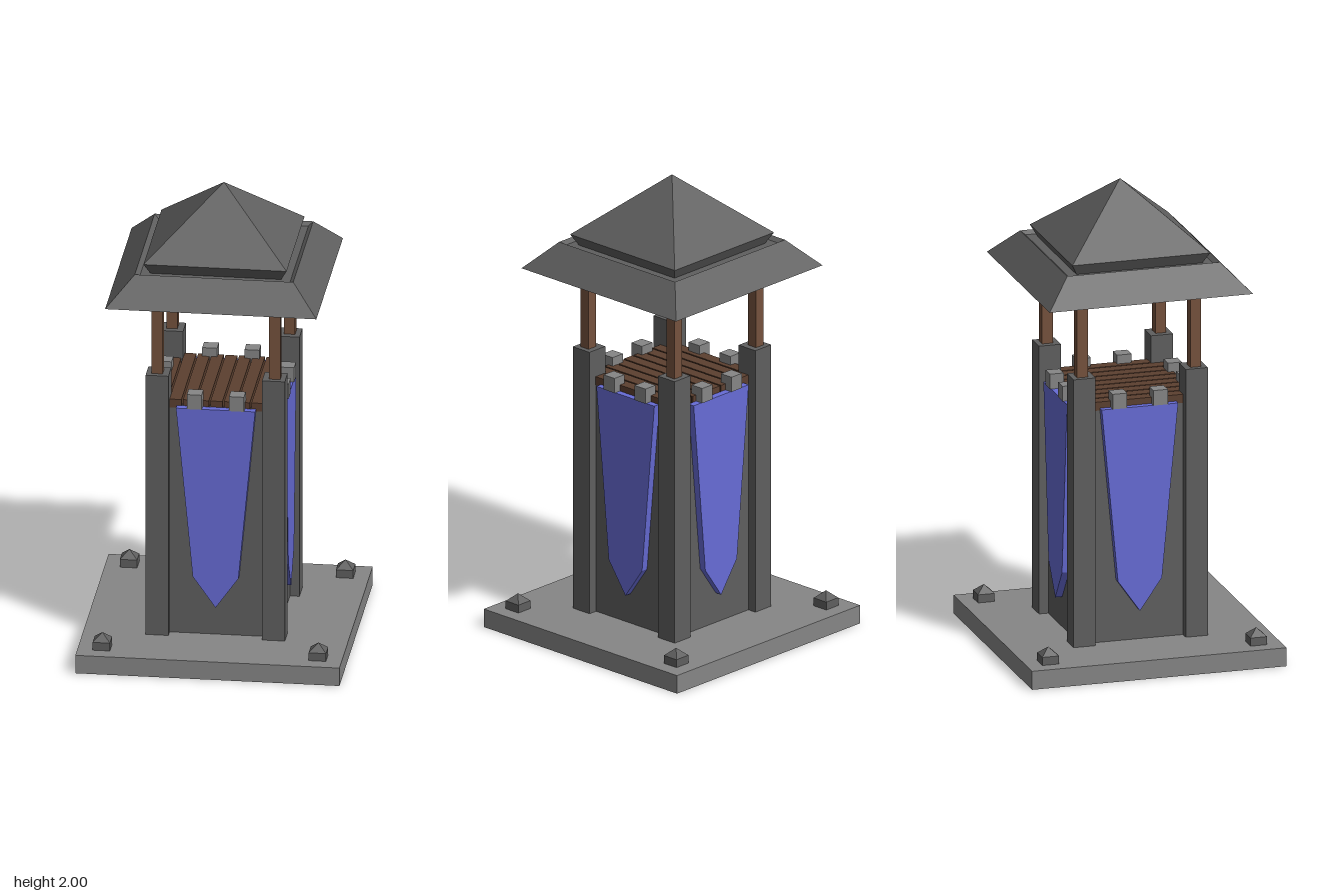
import * as THREE from 'three';

const mat = (name, color) => {
  const m = new THREE.MeshStandardMaterial({ color });
  m.name = name;
  return m;
};

export function createModel() {
  const tower = new THREE.Group();
  tower.name = 'watchtower';
  const lightStone = mat('lightStone', 0x868686);
  const darkStone = mat('darkStone', 0x5f5f5f);
  const wood = mat('wood', 0x75523d);
  const deckWood = mat('deckWood', 0x5c4030);
  const cloth = mat('cloth', 0x676cd6);

  const add = (name, geometry, material, parent = tower) => {
    const mesh = new THREE.Mesh(geometry, material);
    mesh.name = name;
    parent.add(mesh);
    return mesh;
  };
  // Box with a given bottom and top height
  const box = (name, material, x, z, w, d, y0, y1, parent) => {
    const mesh = add(name, new THREE.BoxGeometry(w, y1 - y0, d), material, parent);
    mesh.position.set(x, (y0 + y1) / 2, z);
    return mesh;
  };
  // Square solid from a profile of [half width, height], bottom to top
  const squareLathe = (profile) => {
    const points = profile.map(([h, y]) => new THREE.Vector2(h * Math.SQRT2, y));
    const g = new THREE.LatheGeometry(points, 4, Math.PI / 4).toNonIndexed();
    g.computeVertexNormals();
    return g;
  };

  // Base slab and tower core
  box('base', lightStone, 0, 0, 1.1, 1.1, 0, 0.08);
  box('towerBody', darkStone, 0, 0, 0.5, 0.5, 0.08, 1.085);

  // Corner columns, roof posts and base studs
  const studGeometry = squareLathe([[0, 0.08], [0.036, 0.08], [0.036, 0.115], [0, 0.148]]);
  for (const sx of [-1, 1]) {
    for (const sz of [-1, 1]) {
      box('cornerColumn', darkStone, sx * 0.2425, sz * 0.2425, 0.095, 0.095, 0.08, 1.24);
      box('roofPost', wood, sx * 0.245, sz * 0.245, 0.046, 0.046, 1.24, 1.6);
      add('baseStud', studGeometry, darkStone).position.set(sx * 0.45, 0, sz * 0.45);
    }
  }

  // Plank deck
  for (let i = -4; i <= 4; i++) {
    box('deckPlank', deckWood, i * 0.057, 0, 0.05, 0.5, 1.085, 1.122);
  }

  // Banner outline, pointed at the bottom
  const outline = new THREE.Shape([
    [-0.165, 1.095], [-0.095, 0.345], [0, 0.21], [0.095, 0.345], [0.165, 1.095],
  ].map(([x, y]) => new THREE.Vector2(x, y)));
  const bannerGeometry = new THREE.ExtrudeGeometry(outline, { depth: 0.03, bevelEnabled: false });

  // Banner and two merlons on each of the four sides
  for (let i = 0; i < 4; i++) {
    const side = new THREE.Group();
    side.name = 'towerSide';
    side.rotation.y = i * Math.PI / 2;
    tower.add(side);
    add('banner', bannerGeometry, cloth, side).position.z = 0.25;
    for (const s of [-1, 1]) {
      box('merlon', lightStone, s * 0.088, 0.255, 0.062, 0.06, 1.095, 1.16, side);
    }
  }

  // Lower roof with a sunken top, and the overhanging cap
  add('lowerRoof', squareLathe([
    [0, 1.59], [0.44, 1.59], [0.33, 1.705], [0.312, 1.69], [0, 1.69],
  ]), darkStone);
  add('roofCap', squareLathe([
    [0.272, 1.69], [0.298, 1.738], [0, 2],
  ]), darkStone);

  return tower;
}
